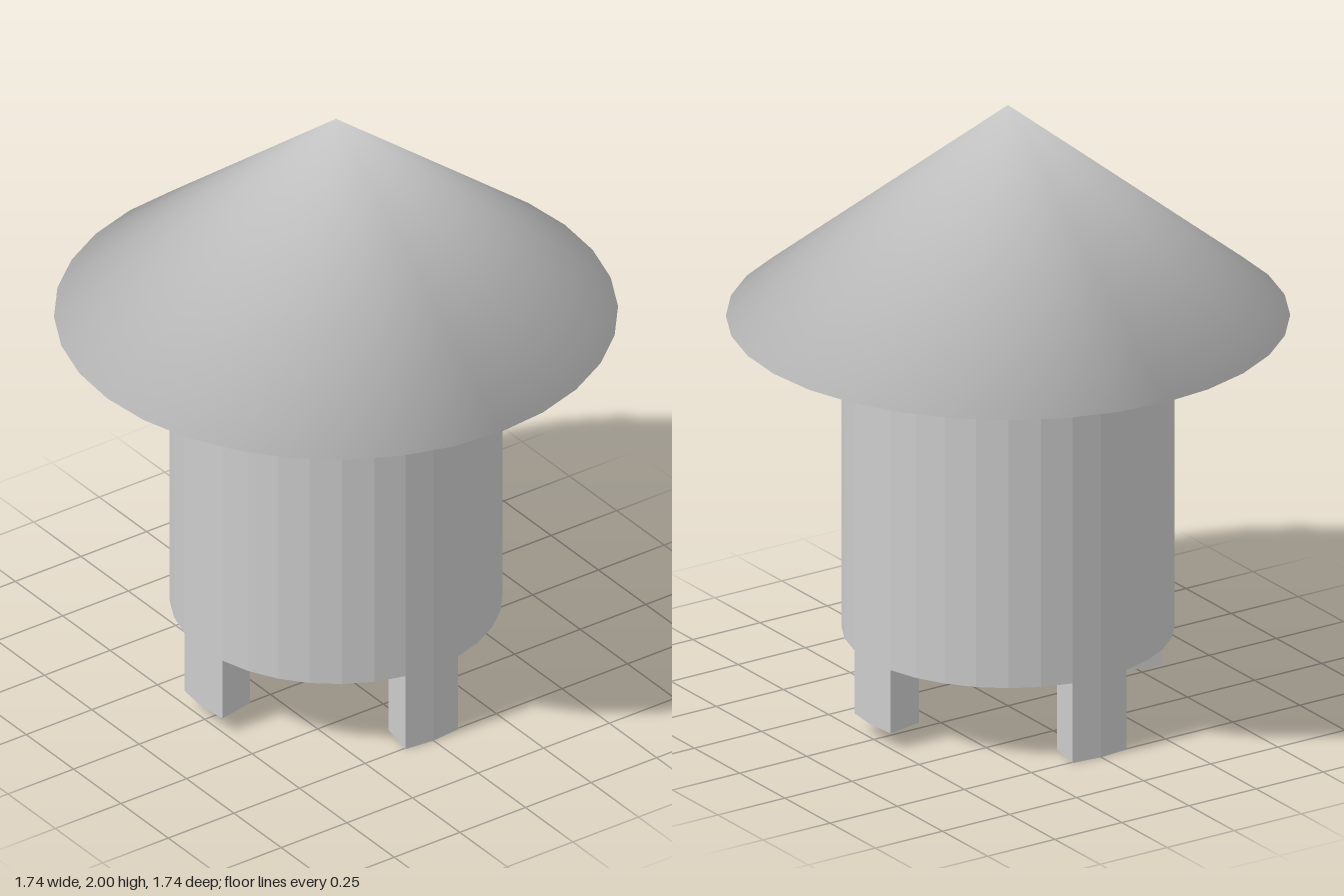
import * as THREE from 'three';
import { mergeVertices } from 'three/addons/utils/BufferGeometryUtils.js';

const SIDES = 32;
const STEP = (Math.PI * 2) / SIDES;
const OUTER = 0.515, INNER = 0.39;
const WALL_BOTTOM = 0.265, EAVES = 1.3, TOP = 2;

// Sector of the wall ring, two facets wide, centred on +x
function legGeometry(bottom) {
  const steps = [-1, 0, 1];
  const at = (r, i) => new THREE.Vector2(r * Math.cos(i * STEP), r * Math.sin(i * STEP));
  const outline = [
    ...steps.map((i) => at(OUTER, i)),
    ...steps.map((i) => at(INNER, -i)),
  ];
  const geo = new THREE.ExtrudeGeometry(new THREE.Shape(outline), {
    depth: WALL_BOTTOM - bottom,
    bevelEnabled: false,
  });
  return geo.rotateX(-Math.PI / 2).translate(0, bottom, 0);
}

export function createModel() {
  const group = new THREE.Group();
  const smooth = new THREE.MeshStandardMaterial({ color: 0xcccccc });
  const faceted = new THREE.MeshStandardMaterial({ color: 0xcccccc, flatShading: true });

  const add = (name, geometry, material) => {
    const mesh = new THREE.Mesh(geometry, material);
    mesh.name = name;
    group.add(mesh);
    return mesh;
  };

  // Closed conical roof, shaded smoothly across the rim
  let roof = new THREE.ConeGeometry(0.872, TOP - EAVES, SIDES);
  roof.deleteAttribute('uv');
  roof.deleteAttribute('normal');
  roof = mergeVertices(roof);
  roof.computeVertexNormals();
  add('roof', roof, smooth).position.y = (TOP + EAVES) / 2;

  // Faceted drum with a shallow recess underneath
  const profile = [
    [0, 0.39], [INNER, 0.39], [INNER, WALL_BOTTOM], [OUTER, WALL_BOTTOM], [OUTER, EAVES],
  ].map(([r, y]) => new THREE.Vector2(r, y));
  add('body', new THREE.LatheGeometry(profile, SIDES), faceted);

  // Legs: long ones at the sides, shorter ones at front and back
  const longLeg = legGeometry(0);
  const shortLeg = legGeometry(0.055);
  ['leftLeg', 'backLeg', 'rightLeg', 'frontLeg'].forEach((name, i) => {
    add(name, i % 2 ? shortLeg : longLeg, faceted).rotation.y = (i * Math.PI) / 2;
  });

  return group;
}
